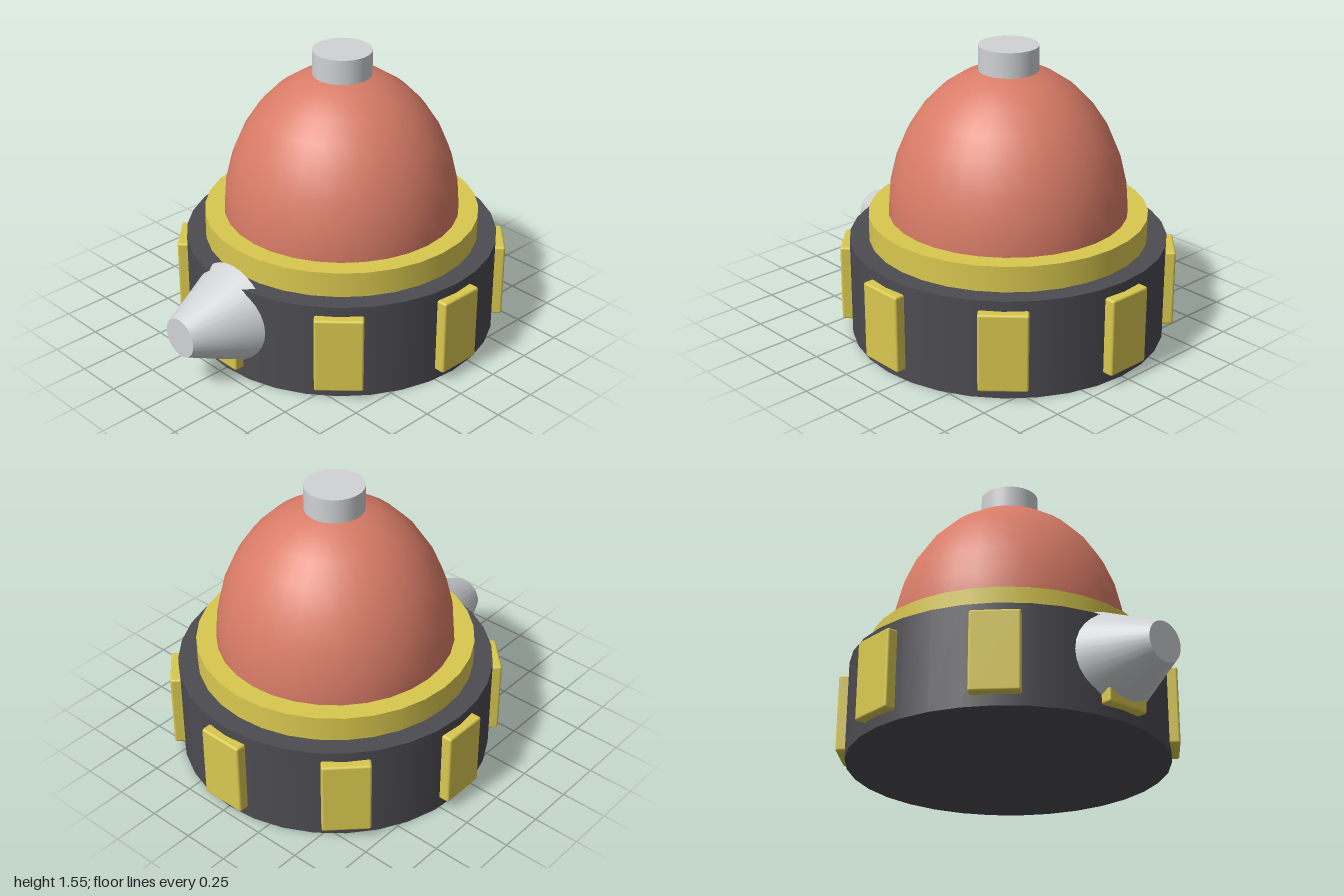
import * as THREE from 'three';
import { RoundedBoxGeometry } from 'three/addons/geometries/RoundedBoxGeometry.js';

const material = (name, color) => {
  const m = new THREE.MeshStandardMaterial({ color });
  m.name = name;
  return m;
};

export function createModel() {
  const red = material('dome red', 0xd97c67);
  const yellow = material('trim yellow', 0xd9c84f);
  const grey = material('metal light grey', 0xd0d2d5);
  const dark = material('base charcoal', 0x4b4b51);

  const model = new THREE.Group();
  model.name = 'domedMachine';

  // The round body sits slightly back so the nozzle reaches the front limit
  const body = new THREE.Group();
  body.name = 'body';
  body.position.z = -0.125;
  model.add(body);

  const add = (parent, name, geometry, mat, x = 0, y = 0, z = 0) => {
    const mesh = new THREE.Mesh(geometry, mat);
    mesh.name = name;
    mesh.position.set(x, y, z);
    parent.add(mesh);
    return mesh;
  };
  const drum = (name, radius, y0, y1, mat) =>
    add(body, name, new THREE.CylinderGeometry(radius, radius, y1 - y0, 32), mat, 0, (y0 + y1) / 2);

  // Stacked drums
  drum('base', 0.832, 0, 0.525, dark);
  drum('collar', 0.73, 0.52, 0.66, yellow);
  drum('topKnob', 0.155, 1.39, 1.55, grey);

  // Stretched half-sphere dome
  const dome = new THREE.SphereGeometry(0.625, 32, 8, 0, Math.PI * 2, 0, Math.PI / 2);
  dome.scale(1, 0.786 / 0.625, 1);
  add(body, 'dome', dome, red, 0, 0.66);

  // Eight bevelled plates around the base
  const plate = new RoundedBoxGeometry(0.25, 0.415, 0.1, 2, 0.012);
  for (let i = 0; i < 8; i++) {
    const a = (i * Math.PI) / 4;
    const p = add(body, 'basePlate', plate, yellow, Math.sin(a) * 0.825, 0.265, Math.cos(a) * 0.825);
    p.rotation.y = a;
  }

  // Tapered nozzle, its wide end sunk into the base
  const nozzle = new THREE.CylinderGeometry(0.105, 0.27, 0.36, 32);
  nozzle.rotateX(Math.PI / 2);
  add(model, 'nozzle', nozzle, grey, 0, 0.315, 0.82);

  return model;
}
